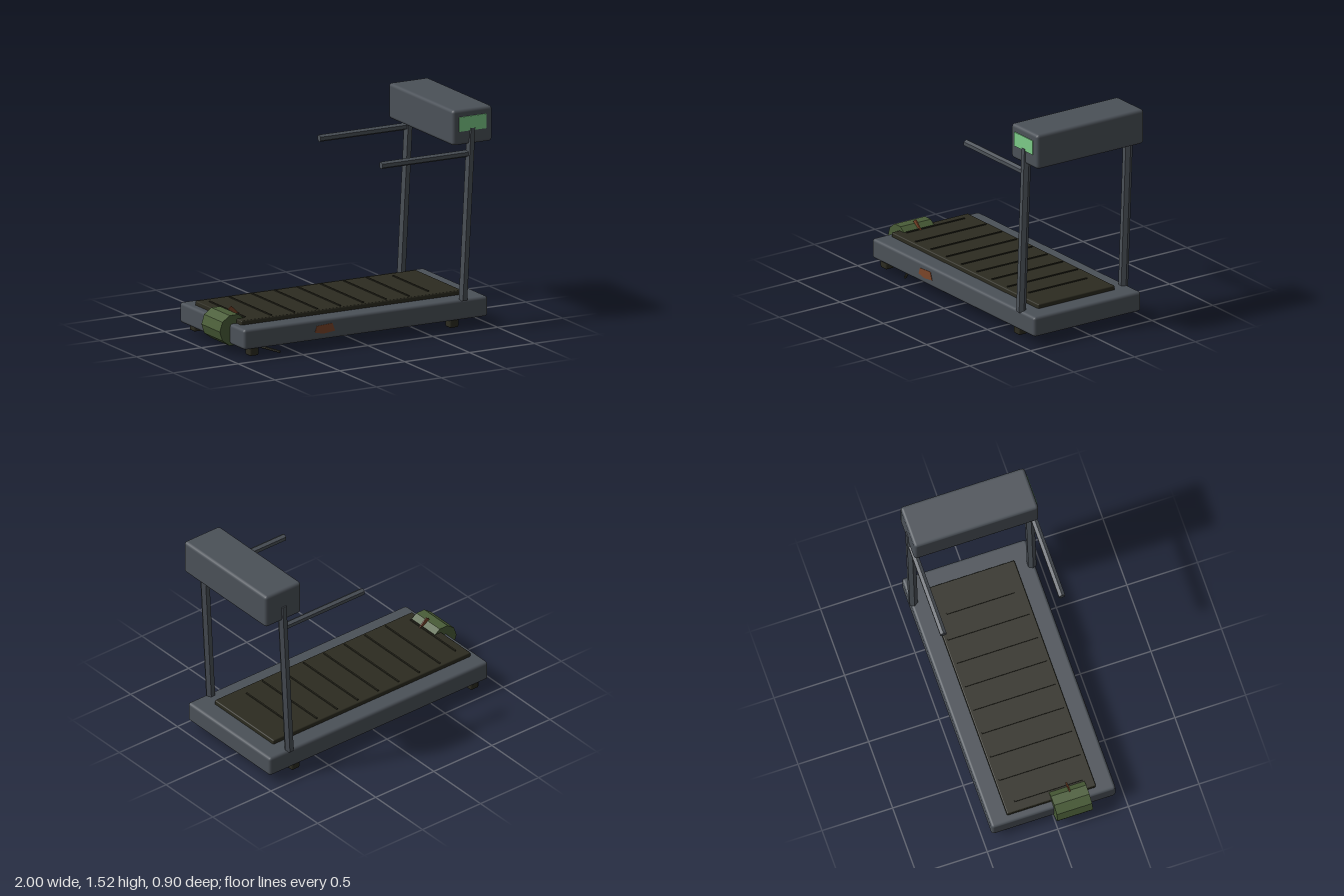
import * as THREE from 'three';
import { RoundedBoxGeometry } from 'three/addons/geometries/RoundedBoxGeometry.js';

const flat = (name, color) => {
  const m = new THREE.MeshStandardMaterial({ color });
  m.name = name;
  return m;
};

export function createModel() {
  const steel = flat('slate steel', 0x4b5158);
  const rubber = flat('dark olive rubber', 0x2c2b20);
  const moss = flat('moss green', 0x4a5d38);
  const rust = flat('rust orange', 0x7b4529);
  const glow = flat('screen green', 0x7ccb88);

  const root = new THREE.Group();
  root.name = 'treadmill';

  const add = (name, geometry, material, x = 0, y = 0, z = 0) => {
    const mesh = new THREE.Mesh(geometry, material);
    mesh.name = name;
    mesh.position.set(x, y, z);
    root.add(mesh);
    return mesh;
  };

  // Bevelled box given by its limits on each axis
  const block = (name, material, [x0, x1], [y0, y1], [z0, z1], r) =>
    add(name, new RoundedBoxGeometry(x1 - x0, y1 - y0, z1 - z0, 2, r), material,
      (x0 + x1) / 2, (y0 + y1) / 2, (z0 + z1) / 2);

  // Faceted bar between two points
  const bar = (name, material, from, to, r, sides = 6) => {
    const a = new THREE.Vector3(...from), b = new THREE.Vector3(...to);
    const dir = b.clone().sub(a);
    const g = new THREE.CylinderGeometry(r, r, dir.length(), sides).rotateY(Math.PI / 2).toNonIndexed();
    g.computeVertexNormals();
    const mesh = add(name, g, material);
    mesh.position.copy(a).add(b).multiplyScalar(0.5);
    mesh.quaternion.setFromUnitVectors(new THREE.Vector3(0, 1, 0), dir.normalize());
    return mesh;
  };

  // Thin plate cut from an outline in the x-y plane
  const plate = (name, material, points, z, depth) => {
    const shape = new THREE.Shape(points.map(([x, y]) => new THREE.Vector2(x, y)));
    return add(name, new THREE.ExtrudeGeometry(shape, { depth, bevelEnabled: false }), material, 0, 0, z);
  };

  // Deck and console housing
  block('deck', steel, [-0.92, 0.96], [0.07, 0.21], [-0.44, 0.44], 0.02);
  block('console', steel, [0.688, 0.995], [1.28, 1.525], [-0.44, 0.44], 0.022);

  // Running belt with raised cross ridges
  block('belt', rubber, [-0.87, 0.83], [0.2, 0.24], [-0.315, 0.315], 0.008);
  for (let i = 0; i < 9; i++) {
    const halfLength = i === 0 || i === 8 ? 0.24 : 0.29;
    add('beltRidge', new THREE.BoxGeometry(0.01, 0.012, halfLength * 2), rubber, -0.8 + i * 0.1765, 0.241, 0);
  }

  // Uprights, handrails and feet, mirrored across the deck
  for (const side of [1, -1]) {
    bar('upright', steel, [0.778, 0.2, side * 0.42], [0.84, 1.39, side * 0.42], 0.033);
    bar('handrail', steel, [0.81, 1.212, side * 0.42], [0.145, 1.212, side * 0.42], 0.025);
    for (const x of [-0.825, 0.715]) {
      block('foot', rubber, [x - 0.035, x + 0.035], [0.015, 0.075],
        [side * 0.38 - 0.035, side * 0.38 + 0.035], 0.012);
    }
  }

  // Display on the side of the console
  add('screen', new THREE.BoxGeometry(0.21, 0.1, 0.008), glow, 0.84, 1.425, 0.442);

  // Ten-sided roll at the rear of the deck
  const rollGeometry = new THREE.CylinderGeometry(0.11, 0.11, 0.25, 10)
    .rotateY(-Math.PI / 2).rotateX(Math.PI / 2).toNonIndexed();
  rollGeometry.computeVertexNormals();
  add('rearRoll', rollGeometry, moss, -0.89, 0.165, 0.125);

  // Rust-coloured fin on the roll and patch on the deck side
  plate('fin', rust, [[-0.87, 0.28], [-0.8, 0.235], [-0.785, 0.243], [-0.845, 0.3]], 0.126, 0.009);
  plate('sidePatch', rust,
    [[-0.375, 0.125], [-0.31, 0.11], [-0.22, 0.12], [-0.24, 0.175], [-0.36, 0.168]], 0.436, 0.007);

  // Loose rod hanging beneath the deck
  bar('looseRod', rubber, [-0.8, 0.06, 0.15], [-0.612, 0.01, 0.385], 0.009);

  return root;
}
